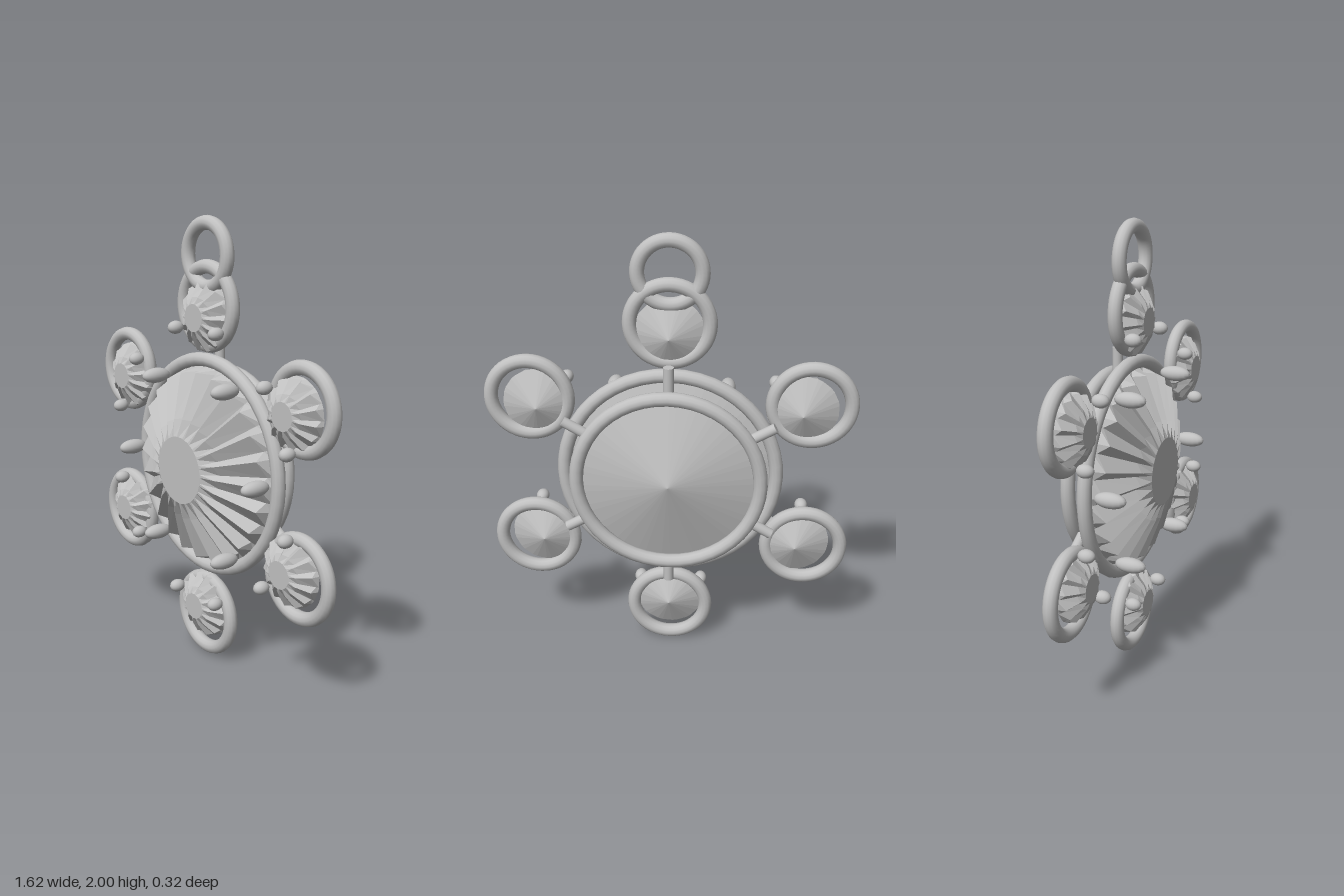
import * as THREE from 'three';

const CY = 0.911;        // height of the medallion centre
const RING_Z = -0.016;   // plane of the front rings

export function createModel() {
  const model = new THREE.Group();
  model.name = 'pendant';
  const metal = new THREE.MeshStandardMaterial({ color: 0xc0c0c0 });
  metal.name = 'silver grey';
  const stone = metal.clone();
  stone.name = 'stone grey';
  stone.flatShading = true;

  function add(parent, name, geometry, x, y, z, material = metal) {
    const mesh = new THREE.Mesh(geometry, material);
    mesh.name = name;
    mesh.position.set(x, y, z);
    parent.add(mesh);
    return mesh;
  }

  const ring = (outer, tube) => new THREE.TorusGeometry(outer - tube, tube, 12, 48);

  // Cut stone: flat table, saw-toothed crown, thin girdle and a pointed back
  function gem(radius, table, front, back, teeth) {
    const n = teeth * 2;
    const loop = (rule) => Array.from({ length: n }, (_, i) => {
      const odd = i % 2;
      const [r, z] = rule(odd);
      const a = ((i + (odd ? -0.35 : 0)) / n) * Math.PI * 2;
      return [r * Math.cos(a), r * Math.sin(a), z];
    });
    const loops = [
      loop(() => [0, back]),
      loop(() => [radius, 0]),
      loop((odd) => (odd ? [radius * 0.95, front * 0.1] : [radius * 0.95, front * 0.42])),
      loop((odd) => (odd ? [table * 1.5, front * 0.72] : [table * 1.5, front * 0.88])),
      loop(() => [table, front]),
      loop(() => [0, front]),
    ];
    const p = [];
    for (let k = 0; k < loops.length - 1; k++) {
      for (let i = 0; i < n; i++) {
        const j = (i + 1) % n;
        const a = loops[k][i], b = loops[k][j], c = loops[k + 1][j], d = loops[k + 1][i];
        if (k > 0) p.push(...a, ...b, ...c);
        if (k === 0) p.push(...a, ...b, ...c, ...a, ...c, ...d);
        else if (k < loops.length - 2) p.push(...a, ...c, ...d);
      }
    }
    const g = new THREE.BufferGeometry();
    g.setAttribute('position', new THREE.Float32BufferAttribute(p, 3));
    g.computeVertexNormals();
    return g;
  }

  // Egg-shaped claw, long in z
  function claw(radius, length) {
    const g = new THREE.SphereGeometry(radius, 16, 12);
    g.scale(1, 1, length / radius);
    return g;
  }

  // Central stone, its front ring and the raised ring behind
  add(model, 'mainStone', gem(0.445, 0.15, 0.161, -0.142, 24), 0, CY, RING_Z, stone);
  add(model, 'mainRing', ring(0.504, 0.031), 0, CY, RING_Z);
  add(model, 'backRing', ring(0.435, 0.031), 0, CY + 0.01, -0.128);

  // Claws around the central stone
  const mainClaw = claw(0.034, 0.072);
  for (const [x, y] of [[0.445, 0], [0.247, 0.371], [0.247, -0.371]]) {
    for (const side of [-1, 1]) {
      add(model, 'mainClaw', mainClaw, side * x, CY + 0.01 + y, 0.087);
    }
  }

  // Six outer settings, each built pointing up and turned about the centre
  const smallRing = ring(0.2, 0.031);
  const smallGem = gem(0.156, 0.06, 0.081, -0.075, 14);
  const smallClaw = claw(0.029, 0.038);
  const peg = new THREE.CylinderGeometry(0.023, 0.023, 0.108, 16);
  for (let i = 0; i < 6; i++) {
    const setting = new THREE.Group();
    setting.name = 'outerSetting';
    setting.position.y = CY;
    setting.rotation.z = (i * Math.PI) / 3;
    add(setting, 'smallRing', smallRing, 0, 0.706, RING_Z);
    add(setting, 'smallStone', smallGem, 0, 0.66, RING_Z, stone);
    for (const side of [-1, 1]) {
      add(setting, 'smallClaw', smallClaw, side * 0.142, 0.606, 0.053);
    }
    model.add(setting);

    // Peg joining the setting at the back
    const a = (i * Math.PI) / 3;
    const rod = add(model, 'backPeg', peg, -Math.sin(a) * 0.476, CY + 0.008 + Math.cos(a) * 0.476, -0.083);
    rod.rotation.z = a;
  }

  // Hanging loop
  add(model, 'hangingLoop', ring(0.166, 0.031), 0, 1.834, -0.012);

  return model;
}
